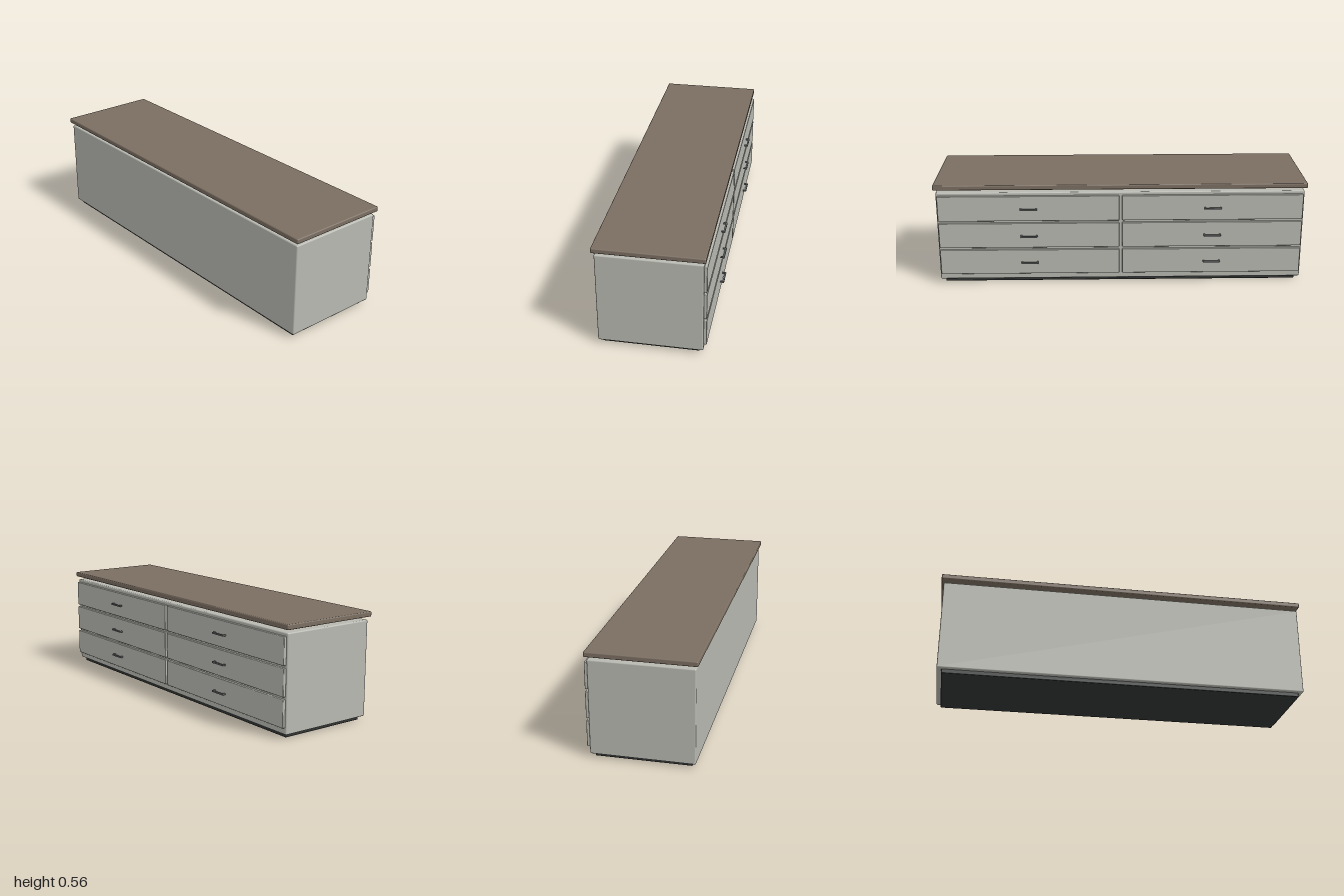
import * as THREE from 'three';
import { RoundedBoxGeometry } from 'three/addons/geometries/RoundedBoxGeometry.js';

const paint = (color) => new THREE.MeshStandardMaterial({ color });

// Rounded box given by its lower and upper limits on each axis
function block(name, [x0, x1], [y0, y1], [z0, z1], radius, material) {
  const geometry = new RoundedBoxGeometry(x1 - x0, y1 - y0, z1 - z0, 3, radius);
  const mesh = new THREE.Mesh(geometry, material);
  mesh.position.set((x0 + x1) / 2, (y0 + y1) / 2, (z0 + z1) / 2);
  mesh.name = name;
  return mesh;
}

// U-shaped pull: outline drawn in x and depth, extruded along its height
function pullGeometry() {
  const w = 0.046, d = 0.02, t = 0.009, c = 0.004;
  const shape = new THREE.Shape();
  shape.moveTo(-w, 0);
  shape.lineTo(-w + t, 0);
  shape.lineTo(-w + t, d - t);
  shape.lineTo(w - t, d - t);
  shape.lineTo(w - t, 0);
  shape.lineTo(w, 0);
  shape.lineTo(w, d - c);
  shape.quadraticCurveTo(w, d, w - c, d);
  shape.lineTo(-w + c, d);
  shape.quadraticCurveTo(-w, d, -w, d - c);
  const geometry = new THREE.ExtrudeGeometry(shape, {
    depth: 0.006, bevelEnabled: true, bevelThickness: 0.0015, bevelSize: 0.0015,
    bevelOffset: -0.0015, bevelSegments: 2, curveSegments: 4,
  });
  geometry.translate(0, 0, -0.003);
  geometry.rotateX(-Math.PI / 2); // depth now points to -z
  return geometry;
}

export function createModel() {
  const group = new THREE.Group();
  group.name = 'lowDresser';
  const body = paint(0xb8b9b1);
  const wood = paint(0x7b6e61);
  const dark = paint(0x323534);
  const metal = paint(0x666a6a);

  // Plinth, carcass and floating top board
  group.add(block('plinth', [-0.963, 0.963], [0, 0.03], [-0.23, 0.258], 0.005, dark));
  group.add(block('carcass', [-0.987, 0.987], [0.022, 0.521], [-0.25, 0.278], 0.007, body));
  group.add(block('topBoard', [-1, 1], [0.538, 0.565], [-0.262, 0.29], 0.006, wood));

  // Two columns of three drawers, each with a pull
  const pull = pullGeometry();
  for (const side of [-1, 1]) {
    for (let row = 0; row < 3; row++) {
      const y = 0.127 + row * 0.1535;
      const x = side * 0.494;
      group.add(block('drawerFront', [x - 0.486, x + 0.486], [y - 0.0705, y + 0.0705],
        [-0.266, -0.249], 0.004, body));
      const handle = new THREE.Mesh(pull, metal);
      handle.name = 'drawerPull';
      handle.position.set(x, y, -0.269);
      group.add(handle);
    }
  }
  return group;
}
